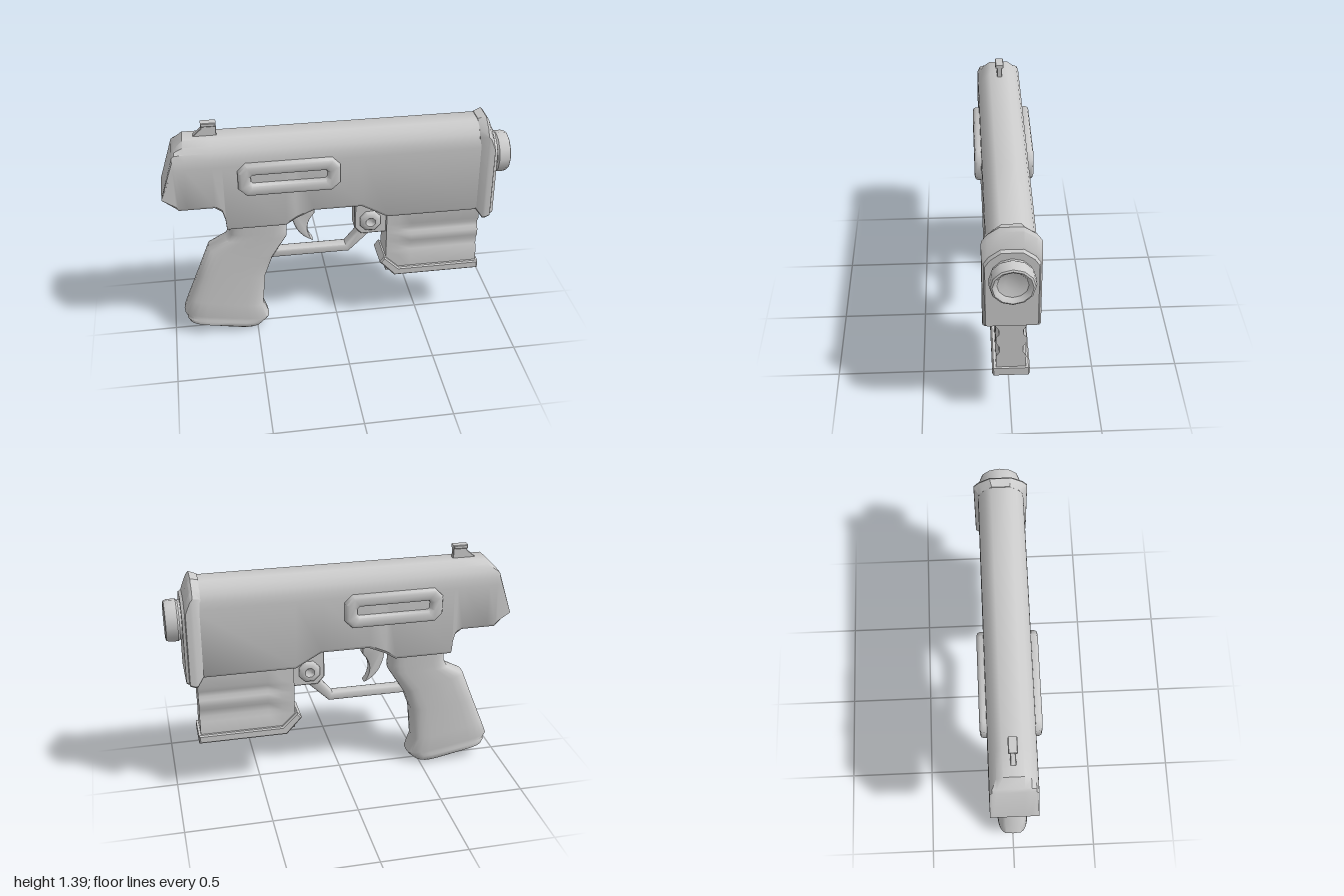
import * as THREE from 'three';
import { toCreasedNormals } from 'three/addons/utils/BufferGeometryUtils.js';

const material = new THREE.MeshStandardMaterial({ color: 0xcccccc });

function mesh(name, geometry, crease = 0.7) {
  const m = new THREE.Mesh(toCreasedNormals(geometry, crease), material);
  m.name = name;
  return m;
}

// Skin a list of equal-length closed rings of [x, y, z], with capped ends.
function loft(rings) {
  const n = rings[0].length, pos = rings.flat(2), index = [];
  for (let r = 0; r < rings.length - 1; r++) {
    for (let i = 0; i < n; i++) {
      const a = r * n + i, b = r * n + (i + 1) % n;
      index.push(a, b, a + n, b, b + n, a + n);
    }
  }
  [0, rings.length - 1].forEach((r, end) => {
    const c = pos.length / 3;
    for (let k = 0; k < 3; k++) pos.push(rings[r].reduce((s, p) => s + p[k], 0) / n);
    for (let i = 0; i < n; i++) {
      const a = r * n + i, b = r * n + (i + 1) % n;
      index.push(...(end ? [a, b, c] : [b, a, c]));
    }
  });
  // Turn the faces outward if the enclosed volume comes out negative.
  const v = (i) => new THREE.Vector3().fromArray(pos, i * 3);
  let volume = 0;
  for (let i = 0; i < index.length; i += 3) {
    volume += v(index[i]).dot(v(index[i + 1]).cross(v(index[i + 2])));
  }
  if (volume < 0) index.reverse();
  const g = new THREE.BufferGeometry();
  g.setAttribute('position', new THREE.Float32BufferAttribute(pos, 3));
  g.setIndex(index);
  return g;
}

const shape = (pts) => new THREE.Shape(pts.map(([x, y]) => new THREE.Vector2(x, y)));

// Side outline extruded symmetrically about z = 0 with bevelled edges.
function prism(outline, half, bevel = 0.01, segments = 1) {
  const g = new THREE.ExtrudeGeometry(outline, {
    depth: 2 * (half - bevel), bevelThickness: bevel, bevelSize: bevel,
    bevelOffset: -bevel, bevelSegments: segments, curveSegments: 8,
  });
  return g.translate(0, 0, bevel - half);
}

// Closed ring in the yz plane, mirrored from a half outline of [z, y].
const mirrorRing = (x, half) => [
  ...half.map(([z, y]) => [x, y, z]),
  ...[...half].reverse().map(([z, y]) => [x, y, -z]),
];

function bodyGeometry() {
  // x, bottom, top
  const stations = [
    [-1, 1, 1], [-0.925, 0.93, 1.25], [-0.91, 0.915, 1.27], [-0.86, 0.915, 1.322],
    [-0.71, 0.915, 1.322], [-0.67, 0.885, 1.322], [-0.655, 0.83, 1.322], [-0.65, 0.765, 1.322],
    [-0.31, 0.765, 1.322], [-0.25, 0.805, 1.322], [-0.15, 0.85, 1.322],
    [0.13, 0.85, 1.322], [0.28, 0.765, 1.322], [0.85, 0.765, 1.322],
  ];
  return loft(stations.map(([x, b, t]) => mirrorRing(x, [
    [0.115, b], [0.131, b + 0.02], [0.131, 1.18], [0.128, 1.225],
    [0.115, 1.262], [0.09, 1.295], [0.055, 1.322],
  ].map(([z, y]) => [z, Math.max(b, Math.min(y, t))]))));
}

function frontPlateGeometry() {
  // x, half width, bottom, top
  const stations = [
    [0.8, 0.125, 0.78, 1.328], [0.845, 0.152, 0.72, 1.342], [0.86, 0.154, 0.72, 1.325],
    [0.888, 0.152, 0.73, 1.255], [0.892, 0.143, 0.738, 1.24], [0.908, 0.137, 0.745, 1.23],
  ];
  return loft(stations.map(([x, w, b, t]) => mirrorRing(x, [
    [w - 0.008, b], [w, b + 0.01], [w, t - 0.085], [w * 0.82, t - 0.045], [w * 0.4, t],
  ])));
}

function gripGeometry() {
  // rear x, y, front x, y, half width
  const sections = [
    [-0.88, 0.078, -0.51, 0.005, 0.08], [-0.912, 0.088, -0.48, 0.018, 0.092],
    [-0.925, 0.115, -0.455, 0.04, 0.095], [-0.922, 0.125, -0.44, 0.052, 0.09],
    [-0.937, 0.155, -0.425, 0.07, 0.093], [-0.9, 0.25, -0.456, 0.165, 0.089],
    [-0.835, 0.41, -0.437, 0.375, 0.083], [-0.765, 0.59, -0.39, 0.5, 0.08],
    [-0.66, 0.645, -0.3, 0.645, 0.08], [-0.637, 0.69, -0.3, 0.69, 0.082],
    [-0.635, 0.8, -0.3, 0.8, 0.085],
  ];
  const n = 24, soft = (c) => Math.sign(c) * Math.sqrt(Math.abs(c));
  return loft(sections.map(([x0, y0, x1, y1, w]) => Array.from({ length: n }, (_, i) => {
    const a = (i / n) * Math.PI * 2, t = 0.5 + 0.5 * soft(Math.cos(a));
    return [x0 + (x1 - x0) * t, y0 + (y1 - y0) * t, w * soft(Math.sin(a))];
  })));
}

function magazineGeometry() {
  // y, groove depth pressed into both sides
  const levels = [
    [0.36, 0], [0.46, 0], [0.49, 0.014], [0.53, 0.014], [0.56, 0],
    [0.6, 0], [0.62, 0.014], [0.65, 0.014], [0.68, 0], [0.8, 0],
  ];
  const columns = [[0.287, 0], [0.36, 0], [0.44, 1], [0.835, 1], [0.845, 1.3]];
  return loft(levels.map(([y, d]) => {
    const side = columns.map(([x, k]) => [x, y, 0.082 - d * k]);
    return [...side, ...side.map(([x, , z]) => [x, y, -z]).reverse()];
  }));
}

export function createModel() {
  const model = new THREE.Group();
  model.name = 'blaster';
  model.add(
    mesh('body', bodyGeometry()),
    mesh('frontPlate', frontPlateGeometry(), 0.5),
    mesh('grip', gripGeometry(), 0.8),
    mesh('magazine', magazineGeometry(), 0.9),
  );

  // Muzzle ring with a dished face
  const muzzleProfile = [
    [0, 0.89], [0.112, 0.89], [0.112, 0.92], [0.12, 0.93], [0.12, 0.975], [0.114, 0.995],
    [0.104, 1], [0.094, 0.995], [0.08, 0.978], [0.04, 0.968], [0, 0.966],
  ].map(([r, x]) => new THREE.Vector2(r, x));
  const muzzle = mesh('muzzle', new THREE.LatheGeometry(muzzleProfile, 12), 0.6);
  muzzle.rotation.z = -Math.PI / 2;
  muzzle.position.y = 1.083;
  model.add(muzzle);

  // Chamfered slot frames, one on each side
  const w = 0.287, h = 0.098, c = 0.045;
  const frame = shape([[-w + c, -h], [w - c, -h], [w, -h + c], [w, h - c],
    [w - c, h], [-w + c, h], [-w, h - c], [-w, -h + c]]);
  const sw = 0.215, sh = 0.03, sc = 0.012;
  frame.holes.push(shape([[-sw + sc, -sh], [-sw, -sh + sc], [-sw, sh - sc], [-sw + sc, sh],
    [sw - sc, sh], [sw, sh - sc], [sw, -sh + sc], [sw - sc, -sh]]));
  for (const s of [1, -1]) {
    const slot = mesh(s > 0 ? 'frontSlotFrame' : 'backSlotFrame', prism(frame, 0.04, 0.02, 2), 0.9);
    slot.position.set(-0.287, 1.098, s * 0.128);
    if (s < 0) slot.rotation.y = Math.PI;
    model.add(slot);
  }

  // Rear sight
  model.add(
    mesh('sightPost', prism(shape([[-0.8, 1.31], [-0.67, 1.31], [-0.67, 1.39],
      [-0.745, 1.39], [-0.755, 1.365], [-0.8, 1.325]]), 0.015, 0.003)),
    mesh('sightCap', prism(shape([[-0.755, 1.378], [-0.67, 1.378], [-0.67, 1.4],
      [-0.755, 1.4]]), 0.025, 0.004)),
  );

  // Trigger
  const trigger = new THREE.Shape();
  trigger.moveTo(-0.275, 0.82);
  trigger.quadraticCurveTo(-0.27, 0.63, -0.145, 0.583);
  trigger.quadraticCurveTo(-0.215, 0.68, -0.135, 0.77);
  trigger.lineTo(-0.13, 0.86);
  model.add(mesh('trigger', prism(trigger, 0.03, 0.01, 2)));

  // Trigger guard and its mounting bracket
  model.add(
    mesh('triggerGuard', prism(shape([[-0.43, 0.487], [0.07, 0.487], [0.2, 0.615],
      [0.2, 0.68], [0.14, 0.68], [0.12, 0.625], [0.048, 0.538], [-0.43, 0.538]]), 0.035, 0.014, 2), 0.8),
    mesh('guardBracket', prism(shape([[0.1, 0.86], [0.1, 0.66], [0.14, 0.615],
      [0.295, 0.615], [0.295, 0.86]]), 0.05, 0.006)),
  );

  // Dimpled octagonal bolts on both sides of the bracket
  const boltProfile = [[0.066, 0], [0.066, 0.016], [0.052, 0.03], [0.03, 0.03], [0.02, 0.018], [0, 0.014]]
    .map(([r, y]) => new THREE.Vector2(r, y));
  for (const s of [1, -1]) {
    const bolt = mesh(s > 0 ? 'frontBolt' : 'backBolt',
      new THREE.LatheGeometry(boltProfile, 8, Math.PI / 8), 0.9);
    bolt.rotation.x = s * Math.PI / 2;
    bolt.position.set(0.192, 0.707, s * 0.048);
    model.add(bolt);
  }

  // Magazine base with its hooked rear lip
  model.add(mesh('magazineBase', prism(shape([[0.34, 0.328], [0.858, 0.328], [0.858, 0.38],
    [0.365, 0.38], [0.275, 0.467], [0.248, 0.43]]), 0.103, 0.008)));

  return model;
}
